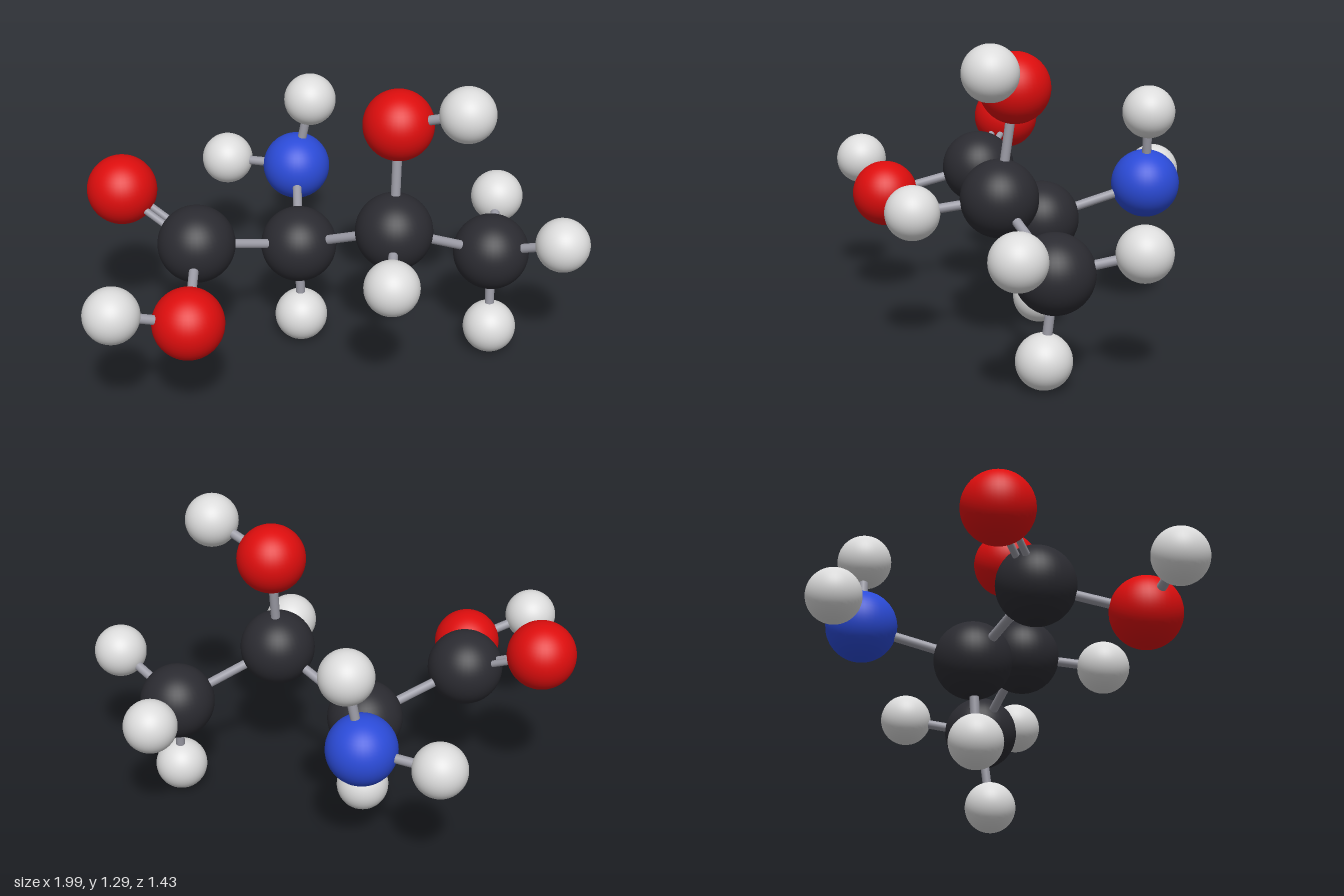
import * as THREE from 'three';

const material = (name, color) => {
  const m = new THREE.MeshStandardMaterial({ color });
  m.name = name;
  return m;
};

export function createModel() {
  const group = new THREE.Group();
  const bondMaterial = material('bond grey', 0x9c9ca6);

  // Radius and colour of each kind of atom
  const kinds = {
    carbon: { radius: 0.155, material: material('carbon black', 0x2b2b31) },
    oxygen: { radius: 0.14, material: material('oxygen red', 0xdd0d0d) },
    nitrogen: { radius: 0.142, material: material('nitrogen blue', 0x2b4bd8) },
    hydrogen: { radius: 0.109, material: material('hydrogen white', 0xdcdcdc) },
  };
  for (const k of Object.values(kinds)) k.geometry = new THREE.SphereGeometry(k.radius, 40, 28);

  // Atoms: kind and centre
  const atoms = {
    carboxylCarbon: ['carbon', -0.558, 0.588, 0.137],
    alphaCarbon: ['carbon', -0.136, 0.455, -0.04],
    betaCarbon: ['carbon', 0.22, 0.645, 0.22],
    methylCarbon: ['carbon', 0.64, 0.456, 0.108],
    carbonylOxygen: ['oxygen', -0.842, 0.748, -0.052],
    acidOxygen: ['oxygen', -0.608, 0.482, 0.542],
    hydroxylOxygen: ['oxygen', 0.238, 1.084, 0.161],
    amineNitrogen: ['nitrogen', -0.105, 0.586, -0.48],
    acidHydrogen: ['hydrogen', -0.891, 0.578, 0.603],
    hydroxylHydrogen: ['hydrogen', 0.478, 1.187, 0.31],
    amineHydrogenTop: ['hydrogen', -0.045, 0.902, -0.472],
    amineHydrogenSide: ['hydrogen', -0.396, 0.571, -0.608],
    alphaHydrogen: ['hydrogen', -0.13, 0.118, -0.027],
    betaHydrogen: ['hydrogen', 0.165, 0.594, 0.555],
    methylHydrogenLower: ['hydrogen', 0.64, 0.118, 0.149],
    methylHydrogenFront: ['hydrogen', 0.885, 0.587, 0.305],
    methylHydrogenBack: ['hydrogen', 0.725, 0.533, -0.213],
  };
  const centre = (name) => new THREE.Vector3(...atoms[name].slice(1));

  for (const [name, [kind]] of Object.entries(atoms)) {
    const mesh = new THREE.Mesh(kinds[kind].geometry, kinds[kind].material);
    mesh.name = name;
    mesh.position.copy(centre(name));
    group.add(mesh);
  }

  // A rod between two atoms, optionally shifted sideways
  const up = new THREE.Vector3(0, 1, 0);
  function addBond(from, to, radius = 0.019, shift = 0) {
    const a = centre(from), b = centre(to);
    const dir = b.clone().sub(a);
    const length = dir.length();
    const mesh = new THREE.Mesh(new THREE.CylinderGeometry(radius, radius, length, 20), bondMaterial);
    mesh.name = `bond ${from} to ${to}`;
    mesh.quaternion.setFromUnitVectors(up, dir.normalize());
    mesh.position.copy(a).add(b).multiplyScalar(0.5);
    mesh.position.addScaledVector(dir.clone().cross(up).normalize(), shift);
    group.add(mesh);
  }

  // Single bonds, listed by the atom they spread from
  const bonds = {
    carboxylCarbon: ['alphaCarbon', 'acidOxygen'],
    alphaCarbon: ['betaCarbon', 'amineNitrogen', 'alphaHydrogen'],
    betaCarbon: ['methylCarbon', 'hydroxylOxygen', 'betaHydrogen'],
    methylCarbon: ['methylHydrogenLower', 'methylHydrogenFront', 'methylHydrogenBack'],
    amineNitrogen: ['amineHydrogenTop', 'amineHydrogenSide'],
    acidOxygen: ['acidHydrogen'],
    hydroxylOxygen: ['hydroxylHydrogen'],
  };
  for (const [from, ends] of Object.entries(bonds)) for (const to of ends) addBond(from, to);

  // Double bond: two thinner rods side by side
  for (const side of [-1, 1]) addBond('carboxylCarbon', 'carbonylOxygen', 0.014, side * 0.02);

  return group;
}
